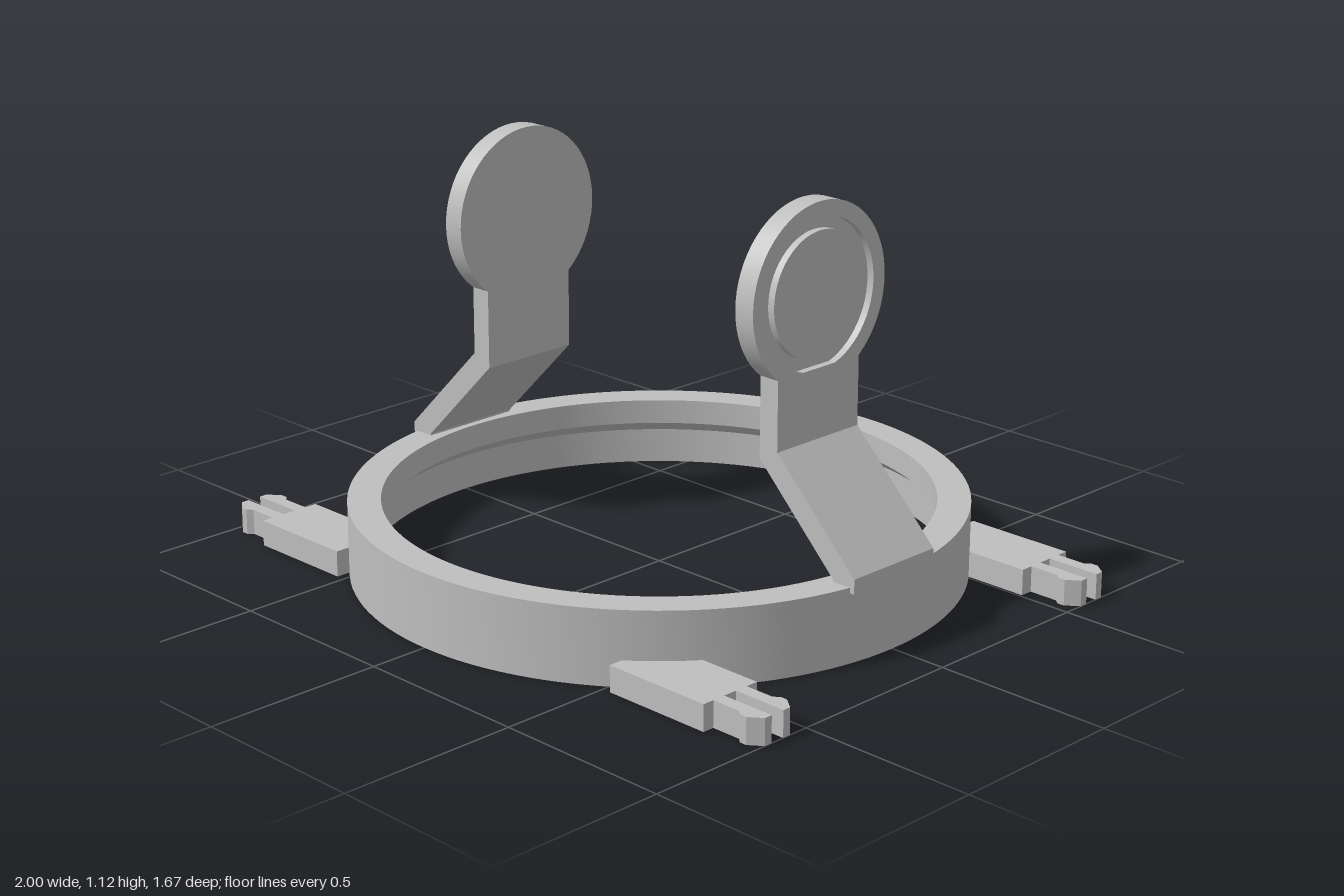
import * as THREE from 'three';
import { toCreasedNormals } from 'three/addons/utils/BufferGeometryUtils.js';

const grey = new THREE.MeshStandardMaterial({ color: 0xbfbfbf });
grey.name = 'grey plastic';

const vectors = (points) => points.map(([x, y]) => new THREE.Vector2(x, y));

function part(name, geometry) {
  const mesh = new THREE.Mesh(geometry, grey);
  mesh.name = name;
  return mesh;
}

function turned(profile, segments) {
  return toCreasedNormals(new THREE.LatheGeometry(vectors(profile), segments), 0.5);
}

function extruded(points, depth) {
  return new THREE.ExtrudeGeometry(new THREE.Shape(vectors(points)), { depth, bevelEnabled: false });
}

export function createModel() {
  const model = new THREE.Group();
  model.name = 'ringHolder';

  // Base ring: thin wall with a thicker lip around the top
  model.add(part('baseRing', turned([
    [0.79, 0], [0.835, 0], [0.835, 0.205], [0.745, 0.205],
    [0.745, 0.135], [0.79, 0.1], [0.79, 0],
  ], 128)));

  // Two bent arms, each carrying a disc with a round groove on its outer face
  const armOutline = [
    [0.765, 0.19], [0.835, 0.19], [0.835, 0.23], [0.57, 0.495],
    [0.57, 0.684], [0.51, 0.684], [0.51, 0.465], [0.765, 0.21],
  ];
  const discProfile = [
    [0, 0], [0.243, 0], [0.243, 0.06], [0.2, 0.06],
    [0.2, 0.04], [0.168, 0.04], [0.168, 0.06], [0, 0.06],
  ];
  for (const [name, turn] of [['leftArm', 0], ['rightArm', Math.PI]]) {
    const arm = new THREE.Group();
    arm.name = name;
    arm.add(part('bentStrut', extruded(armOutline, 0.3).translate(0, 0, -0.15)));
    const disc = part('disc', turned(discProfile, 64));
    disc.rotation.z = -Math.PI / 2;
    disc.position.set(0.51, 0.875, 0);
    arm.add(disc);
    arm.rotation.y = turn;
    model.add(arm);
  }

  // Four clips: a block against the ring and two barbed prongs
  const blockOutline = [[0.525, 0.69], [0.845, 0.69], [0.845, 0.507], [0.64, 0.507], [0.58, 0.575], [0.525, 0.63]];
  const prongOutline = [
    [0.84, 0.02], [1, 0.02], [1, 0.043], [0.965, 0.07],
    [0.945, 0.07], [0.93, 0.057], [0.84, 0.057],
  ];
  for (const sx of [1, -1]) {
    for (const sz of [1, -1]) {
      const clip = new THREE.Group();
      clip.name = (sz > 0 ? 'front' : 'back') + (sx > 0 ? 'Left' : 'Right') + 'Clip';
      const flat = (points) =>
        extruded(points.map(([x, z]) => [sx * x, -sz * z]), 0.072).rotateX(-Math.PI / 2);
      clip.add(part('clipBlock', flat(blockOutline)));
      for (const side of [1, -1]) {
        clip.add(part('prong', flat(prongOutline.map(([x, z]) => [x, 0.6 + side * z]))));
      }
      model.add(clip);
    }
  }
  return model;
}
